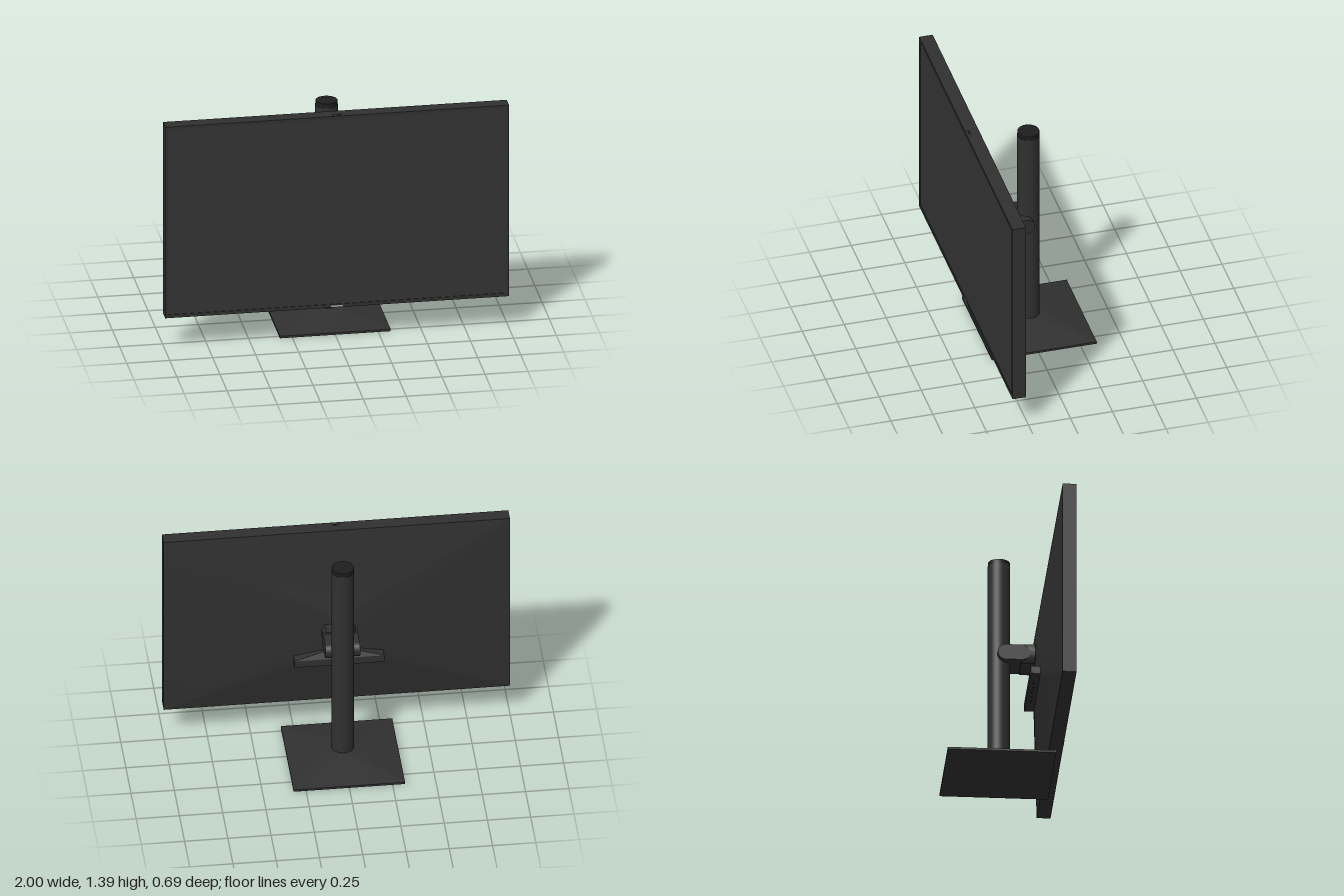
import * as THREE from 'three';
import { toCreasedNormals } from 'three/addons/utils/BufferGeometryUtils.js';

const mat = (color) => new THREE.MeshStandardMaterial({ color });
const body = mat(0x303030), dark = mat(0x1e1e1e), glass = mat(0x343434), silver = mat(0xaaaaaa);

// Shell rising from a w x h rectangle (z = 0) to a circle of radius r at z = depth, offset by cy
function rectToRound(w, h, r, depth, cy = 0, n = 12) {
  const pos = [];
  const corner = (k) => [[1, 1], [-1, 1], [-1, -1], [1, -1]][k % 4].map((s, i) => s * (i ? h : w) / 2).concat(0);
  const arc = (i) => {
    const a = (i / n) * Math.PI / 2;
    return [r * Math.cos(a), cy + r * Math.sin(a), depth];
  };
  for (let k = 0; k < 4; k++) {
    for (let i = k * n; i < (k + 1) * n; i++) {
      pos.push(...corner(k), ...arc(i + 1), ...arc(i));
      pos.push(0, cy, depth, ...arc(i), ...arc(i + 1));
    }
    pos.push(...corner(k), ...corner(k + 1), ...arc((k + 1) * n));
  }
  const g = new THREE.BufferGeometry();
  g.setAttribute('position', new THREE.Float32BufferAttribute(pos, 3));
  return toCreasedNormals(g, 0.1);
}

function rectPath(path, w, h) {
  return path.moveTo(-w / 2, -h / 2).lineTo(w / 2, -h / 2).lineTo(w / 2, h / 2).lineTo(-w / 2, h / 2).closePath();
}

const extrude = (shape, depth) =>
  toCreasedNormals(new THREE.ExtrudeGeometry(shape, { depth, bevelEnabled: false, curveSegments: 20 }), 0.5);

export function createModel() {
  const model = new THREE.Group();
  const add = (parent, name, geo, material, x = 0, y = 0, z = 0) => {
    const m = new THREE.Mesh(geo, material);
    m.name = name;
    m.position.set(x, y, z);
    parent.add(m);
    return m;
  };
  const box = (w, h, d) => new THREE.BoxGeometry(w, h, d);

  // Display: frame, recessed panel and tapering back
  const display = new THREE.Group();
  display.name = 'display';
  model.add(display);
  const W = 2, H = 1.188, midY = 0.792;
  const frame = rectPath(new THREE.Shape(), W, H);
  frame.holes.push(rectPath(new THREE.Path(), W - 0.036, H - 0.04));
  add(display, 'bezel', extrude(frame, 0.08), body, 0, midY, 0.265);
  add(display, 'screenPanel', box(W - 0.036, H - 0.04, 0.07), glass, 0, midY, 0.306);
  add(display, 'backShell', rectToRound(W, H, 0.125, 0.09, 0.73 - midY), body, 0, midY, 0.265).rotation.y = Math.PI;
  add(display, 'statusBar', box(0.07, 0.01, 0.003), silver, 0, 0.206, 0.345);
  add(display, 'topSensor', box(0.05, 0.003, 0.012), dark, 0, midY + H / 2, 0.322);
  add(display, 'powerButton', box(0.003, 0.02, 0.005), dark, 1, 0.238, 0.3);

  // Connector housing under the mount, with a hump tapering to its ends
  const housing = new THREE.Group();
  housing.name = 'connectorHousing';
  model.add(housing);
  add(housing, 'housingBase', box(0.52, 0.045, 0.085), body, 0, 0.5475, 0.1795);
  const hump = box(0.52, 0.038, 0.085);
  const p = hump.attributes.position;
  for (let i = 0; i < p.count; i++) {
    if (p.getY(i) < 0) continue;
    p.setX(i, Math.sign(p.getX(i)) * 0.1);
    if (p.getZ(i) < 0) p.setZ(i, p.getZ(i) + 0.02);
    else p.setZ(i, p.getZ(i) - 0.02);
  }
  hump.computeVertexNormals();
  add(housing, 'housingTop', hump, body, 0, 0.589, 0.1795);
  for (let i = 0; i < 5; i++) add(housing, 'port', box(0.035, 0.004, 0.014), dark, -0.12 + i * 0.06, 0.525, 0.165);

  // Mount head: a disc cut flat above and below
  const mount = new THREE.Group();
  mount.name = 'mount';
  model.add(mount);
  const cut = Math.asin(0.6);
  const head = new THREE.Shape();
  head.absarc(0, 0, 0.1, -cut, cut, false);
  head.absarc(0, 0, 0.1, Math.PI - cut, Math.PI + cut, false);
  head.closePath();
  add(mount, 'mountHead', extrude(head, 0.085), body, 0, 0.73, 0.095);

  // Hinge arm: round-ended link clasping the column
  const link = new THREE.Shape();
  const r = 0.047;
  link.absarc(0.007, 0, r, Math.PI / 2, Math.PI * 1.5, false);
  link.absarc(0.098, 0, r, -Math.PI / 2, Math.PI / 2, false);
  link.closePath();
  add(mount, 'hingeArm', extrude(link, 0.2), body, 0.1, 0.732, 0).rotation.y = -Math.PI / 2;

  // Stand: column with cap, and a base sloping up to it
  const stand = new THREE.Group();
  stand.name = 'stand';
  model.add(stand);
  const cz = -0.027;
  add(stand, 'column', new THREE.CylinderGeometry(0.065, 0.065, 1.26, 40), body, 0, 0.68, cz);
  add(stand, 'columnCap', new THREE.CylinderGeometry(0.063, 0.063, 0.025, 40), dark, 0, 1.3215, cz);
  add(stand, 'baseSlab', box(0.644, 0.013, 0.625), body, 0, 0.0065, -0.0325);
  add(stand, 'baseSlope', rectToRound(0.644, 0.625, 0.075, 0.052), body, 0, 0.013, -0.0325).rotation.x = -Math.PI / 2;

  return model;
}
